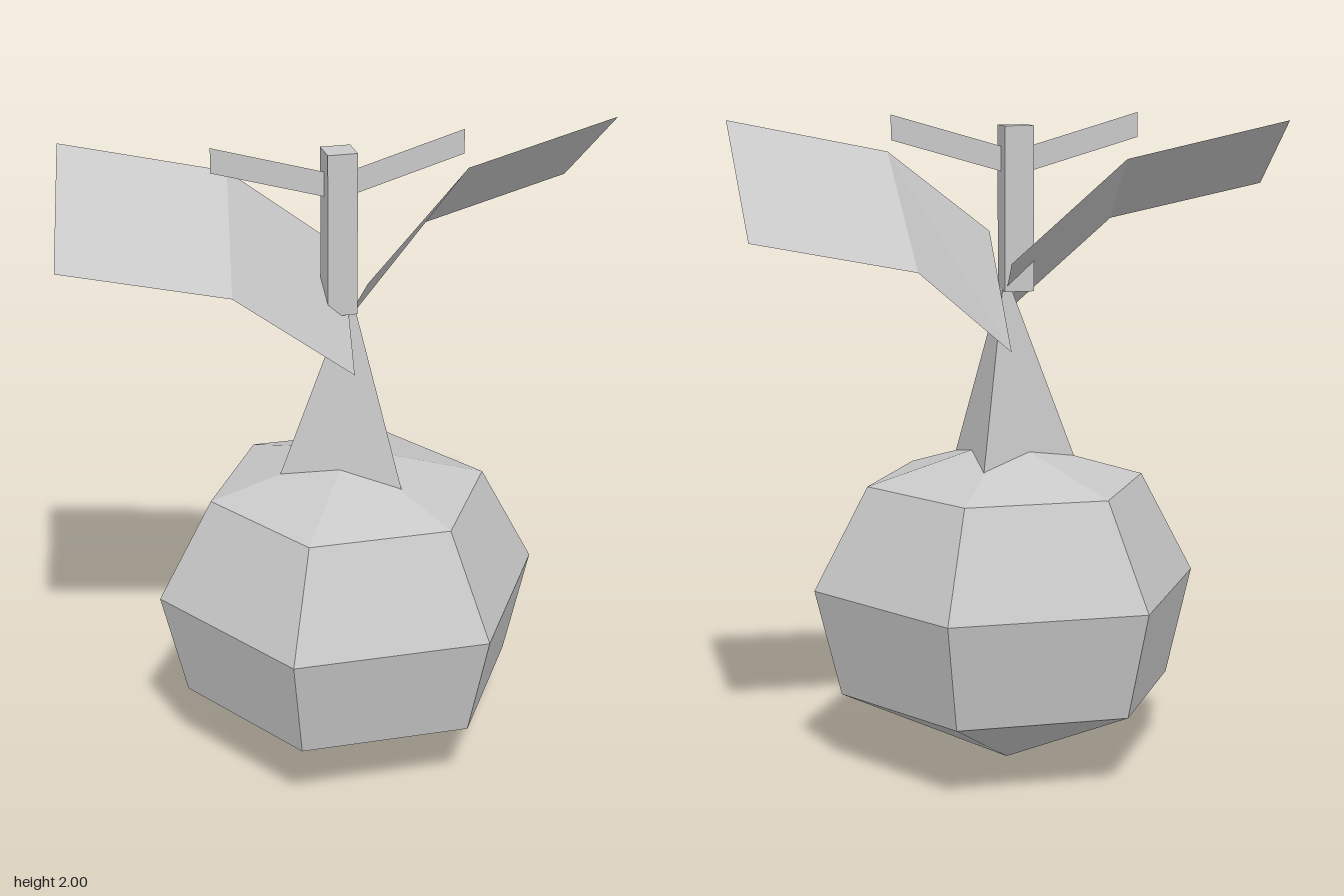
import * as THREE from 'three';

export function createModel() {
  const model = new THREE.Group();
  const grey = new THREE.MeshStandardMaterial({ color: 0xc8c8c8, flatShading: true, side: THREE.DoubleSide });
  grey.name = 'pale grey';

  const add = (name, geometry, x = 0, y = 0, z = 0) => {
    const mesh = new THREE.Mesh(geometry, grey);
    mesh.name = name;
    mesh.position.set(x, y, z);
    model.add(mesh);
  };

  // Thin sheet through pairs of edge points
  const strip = (pairs) => {
    const geometry = new THREE.BufferGeometry();
    const index = [];
    for (let i = 0; i < pairs.length - 1; i++) {
      const a = i * 2;
      index.push(a, a + 2, a + 1, a + 1, a + 2, a + 3);
    }
    geometry.setAttribute('position', new THREE.Float32BufferAttribute(pairs.flat(2), 3));
    geometry.setIndex(index);
    geometry.computeVertexNormals();
    return geometry;
  };

  // Six-sided bulb with pointed ends
  const profile = [[0, 0], [0.52, 0.24], [0.6, 0.57], [0.433, 0.885], [0, 1.017]]
    .map(([r, y]) => new THREE.Vector2(r, y));
  add('bulb', new THREE.LatheGeometry(profile, 6, Math.PI / 2), 0.03);

  // Three-sided neck
  const neckBase = 0.93, neckTop = 1.53;
  add('neck', new THREE.ConeGeometry(0.228, neckTop - neckBase, 3, 1, false, -Math.PI / 2),
    0.035, (neckBase + neckTop) / 2);

  // Square stem
  add('stem', new THREE.BoxGeometry(0.09, 0.495, 0.09), 0, 1.7175);

  // Slim upright blades either side of the stem
  for (const [side, name] of [[1, 'leftBlade'], [-1, 'rightBlade']]) {
    add(name, strip([
      [[0, 1.89, 0], [0, 1.815, 0]],
      [[side * 0.38, 2, 0], [side * 0.38, 1.925, 0]],
    ]));
  }

  // Broad folded leaves
  add('leftLeaf', strip([
    [[0.03, 1.63, 0.217], [0.073, 1.315, -0.243]],
    [[0.385, 1.89, 0.03], [0.385, 1.575, -0.41]],
    [[0.87, 1.99, -0.037], [0.87, 1.675, -0.477]],
  ]));
  add('rightLeaf', strip([
    [[0.073, 1.575, -0.243], [-0.015, 1.36, 0.243]],
    [[-0.295, 1.87, -0.18], [-0.387, 1.655, 0.307]],
    [[-0.787, 1.98, -0.22], [-0.875, 1.76, 0.267]],
  ]));

  return model;
}
